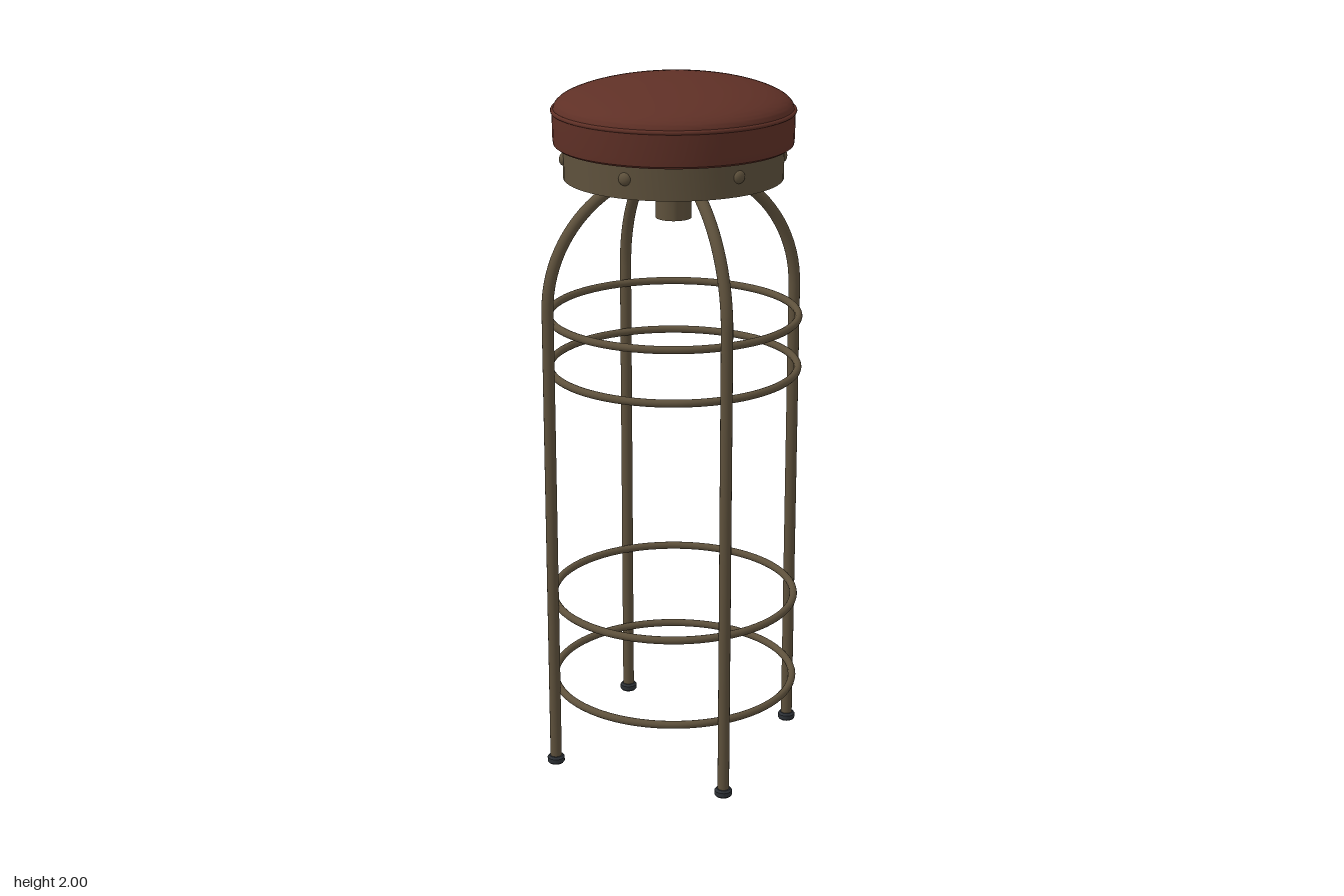
import * as THREE from 'three';
import { toCreasedNormals } from 'three/addons/utils/BufferGeometryUtils.js';

const std = (name, color) => Object.assign(new THREE.MeshStandardMaterial({ color }), { name });

export function createModel() {
  const stool = new THREE.Group();
  stool.name = 'barStool';
  const metal = std('agedMetal', 0x5e513c);
  const leather = std('redLeather', 0x5f3026);
  const dark = std('darkSteel', 0x2d3136);

  const add = (name, geometry, material, x = 0, y = 0, z = 0, parent = stool) => {
    const mesh = new THREE.Mesh(geometry, material);
    mesh.name = name;
    mesh.position.set(x, y, z);
    parent.add(mesh);
    return mesh;
  };
  // Turned part from [radius, height] pairs, with hard edges kept sharp
  const turned = (profile, segments = 64) => toCreasedNormals(
    new THREE.LatheGeometry(profile.map(([r, y]) => new THREE.Vector2(r, y)), segments), 0.6);

  const LEG = 0.374, SPRING = 1.38, TUBE = 0.0165;

  // Four legs with feet
  for (let i = 0; i < 4; i++) {
    const a = (i * Math.PI) / 2;
    const x = LEG * Math.sin(a), z = LEG * Math.cos(a);
    add('leg', new THREE.CylinderGeometry(TUBE, TUBE, SPRING - 0.01, 16), metal, x, (SPRING + 0.01) / 2, z);
    add('foot', turned([[0, 0], [0.022, 0], [0.025, 0.004], [0.025, 0.017], [0.02, 0.023], [0, 0.023]], 20), dark, x, 0, z);
  }

  // Two crossing arches joining opposite legs
  for (const turn of [0, Math.PI / 2]) {
    add('arch', new THREE.TorusGeometry(LEG, TUBE, 16, 48, Math.PI), metal, 0, SPRING, 0).rotation.y = turn;
  }

  // Foot rings
  for (const y of [0.225, 0.486, 1.182, 1.332]) {
    add('footRing', new THREE.TorusGeometry(0.351, 0.011, 12, 72), metal, 0, y, 0).rotation.x = Math.PI / 2;
  }

  // Hollow swivel column and its mounting plate
  add('column', turned([[0.038, 1.79], [0.038, 1.61], [0.05, 1.61], [0.05, 1.79]], 32), metal);
  add('columnCore', new THREE.CylinderGeometry(0.039, 0.039, 0.02, 24), dark, 0, 1.7, 0);
  add('mountingPlate', new THREE.BoxGeometry(0.26, 0.02, 0.26), dark, 0, 1.8, 0).rotation.y = Math.PI / 4;

  // Seat skirt, lining and rivets
  add('skirt', turned([[0.292, 1.725], [0.304, 1.725], [0.304, 1.818], [0.292, 1.818]]), metal);
  add('skirtLining', turned([[0.292, 1.818], [0.292, 1.725]]), dark);
  const rivets = new THREE.Group();
  rivets.name = 'rivets';
  stool.add(rivets);
  for (let i = 0; i < 6; i++) {
    const a = THREE.MathUtils.degToRad(12.5 + 60 * i);
    const rivet = add('rivet', new THREE.SphereGeometry(0.018, 16, 12), metal,
      0.302 * Math.sin(a), 1.778, 0.302 * Math.cos(a), rivets);
    rivet.rotation.y = a;
    rivet.scale.z = 0.7;
  }

  // Cushion side band
  add('cushionSide', turned([[0, 1.815], [0.322, 1.815], [0.33, 1.821], [0.332, 1.84], [0.333, 1.912]]), leather);
  add('piping', new THREE.TorusGeometry(0.331, 0.006, 8, 72), leather, 0, 1.912, 0).rotation.x = Math.PI / 2;

  // Soft crown, its peak pushed slightly off centre
  const crownCurve = new THREE.SplineCurve([[0.331, 1.912], [0.324, 1.931], [0.3, 1.95], [0.25, 1.969],
    [0.18, 1.985], [0.09, 1.997], [0, 2]].map(([r, y]) => new THREE.Vector2(r, y)));
  const crown = new THREE.LatheGeometry(crownCurve.getPoints(28), 64);
  const p = crown.attributes.position;
  for (let i = 0; i < p.count; i++) {
    const shift = 0.02 * (1 - (p.getX(i) ** 2 + p.getZ(i) ** 2) / 0.331 ** 2);
    p.setXYZ(i, p.getX(i) + shift, p.getY(i), p.getZ(i) - shift);
  }
  add('cushionTop', toCreasedNormals(crown, 0.8), leather);

  return stool;
}
